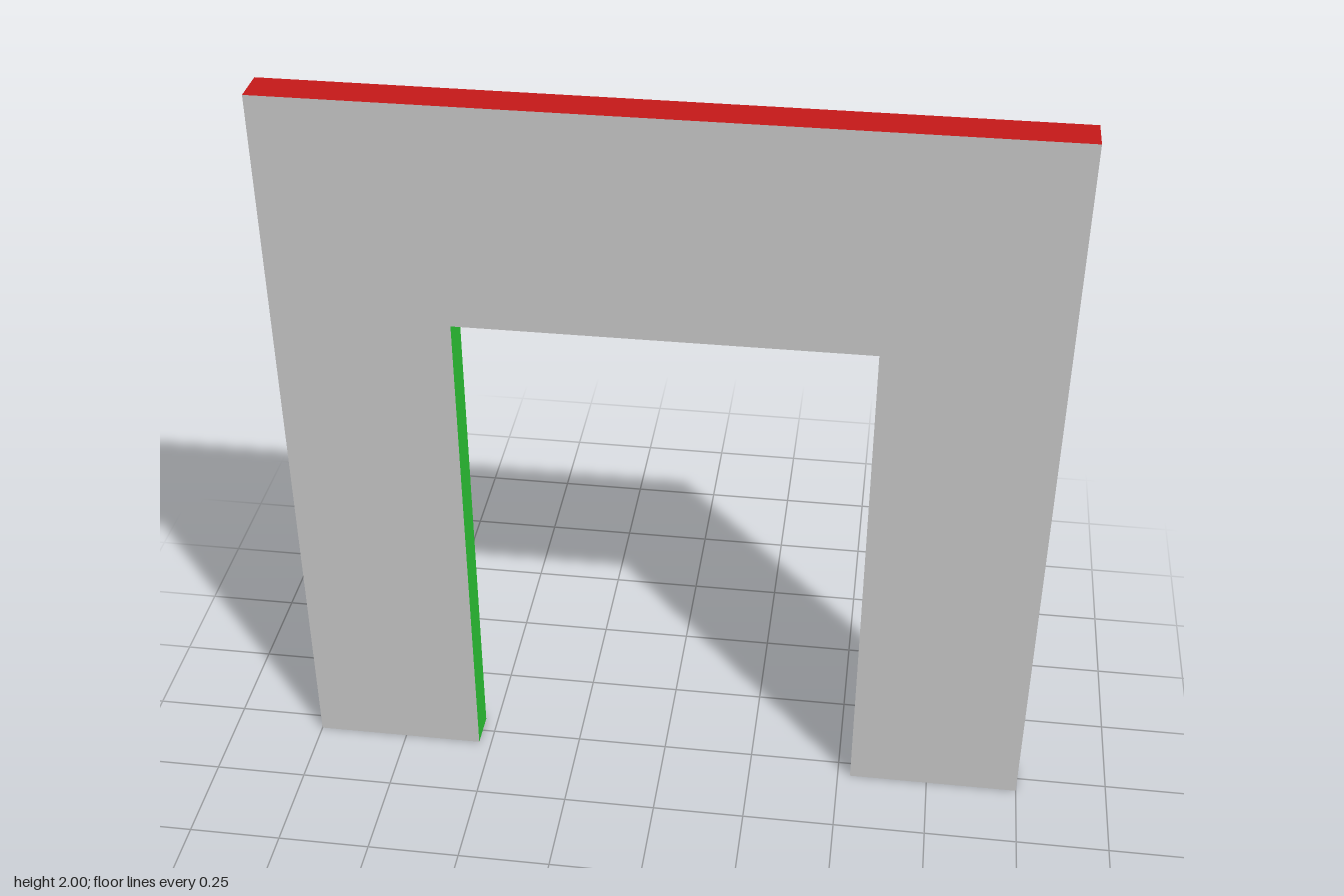
import * as THREE from 'three';

const DEPTH = 0.1;
const GREY = 0xcccccc, BLUE = 0x2832d2, RED = 0xc81919, GREEN = 0x2dcd37, PURPLE = 0x5c26ca, GOLD = 0xcd9e2e;

// Wall outline, counter-clockwise from the front; each corner starts an edge strip
const outline = [
  [-1, 0, 'rightFoot', RED],
  [-0.535, 0, 'rightJamb', GREEN],
  [-0.535, 1.4, 'lintelUnderside', GREEN],
  [0.535, 1.4, 'leftJamb', GREEN],
  [0.535, 0, 'leftFoot', RED],
  [1, 0, 'leftEnd', PURPLE],
  [1, 2, 'topEdge', RED],
  [-1, 2, 'rightEnd', GOLD],
];

export function createModel() {
  const group = new THREE.Group();
  group.name = 'doorwayWall';

  const add = (name, geometry, color) => {
    const mesh = new THREE.Mesh(geometry, new THREE.MeshStandardMaterial({ color }));
    mesh.name = name;
    group.add(mesh);
    return mesh;
  };

  // Front and back faces around the doorway
  const shape = new THREE.Shape(outline.map(([x, y]) => new THREE.Vector2(x, y)));
  const face = new THREE.ShapeGeometry(shape);
  add('frontFace', face, GREY).position.z = DEPTH / 2;
  add('backFace', face.clone().rotateY(Math.PI), BLUE).position.z = -DEPTH / 2;

  // Edge strips through the thickness, facing outward
  outline.forEach(([x, y, name, color], i) => {
    const [nx, ny] = outline[(i + 1) % outline.length];
    const strip = new THREE.PlaneGeometry(Math.hypot(nx - x, ny - y), DEPTH)
      .rotateX(Math.PI / 2)
      .rotateZ(Math.atan2(ny - y, nx - x));
    add(name, strip, color).position.set((x + nx) / 2, (y + ny) / 2, 0);
  });

  return group;
}
